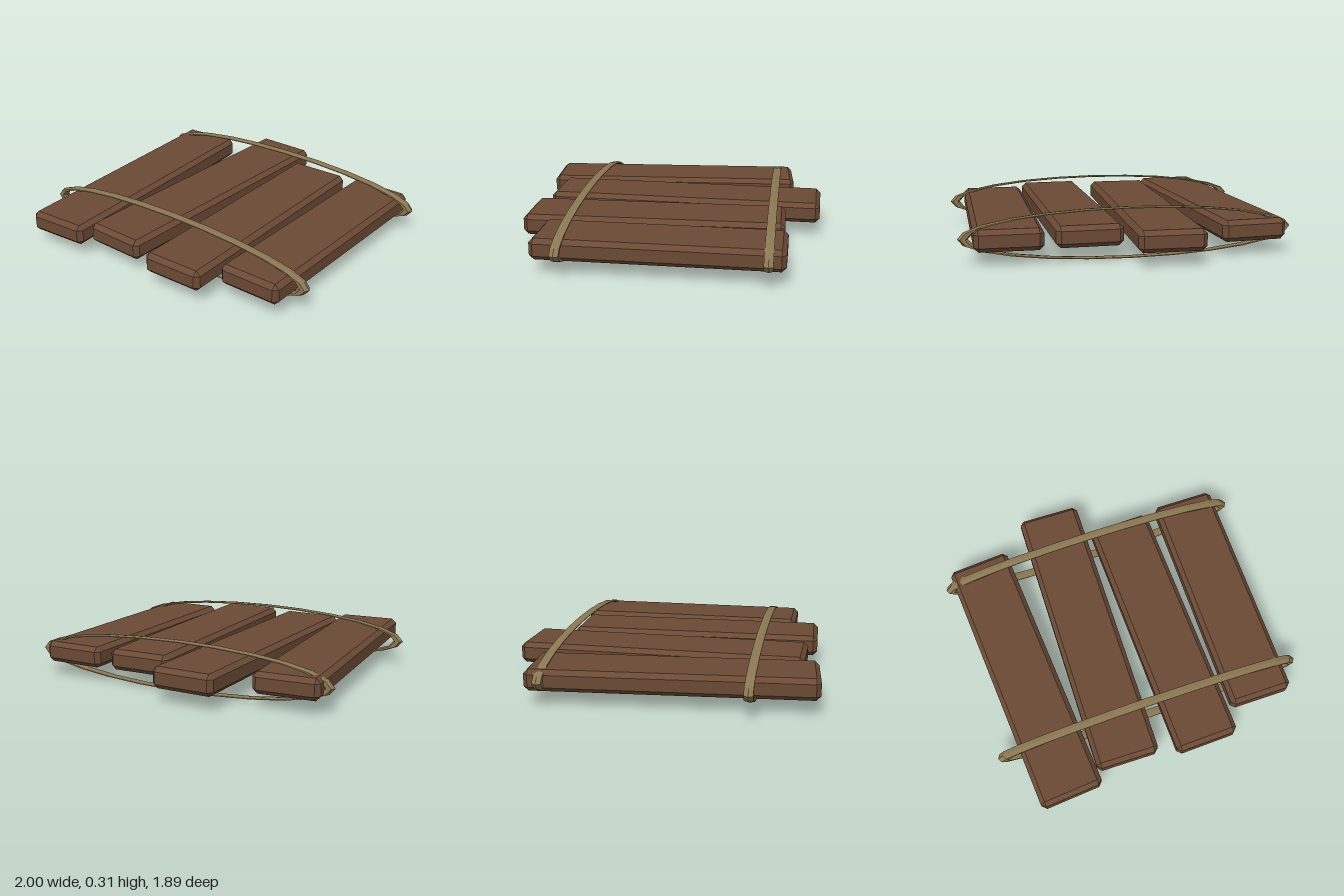
import * as THREE from 'three';
import { ConvexGeometry } from 'three/addons/geometries/ConvexGeometry.js';

const MID_Y = 0.153;

// Box with every edge and corner chamfered by b
function chamferedBox(w, h, d, b) {
  const points = [];
  for (const sx of [-1, 1]) for (const sy of [-1, 1]) for (const sz of [-1, 1]) {
    for (let axis = 0; axis < 3; axis++) {
      const inset = [b, b, b];
      inset[axis] = 0;
      points.push(new THREE.Vector3(
        sx * (w / 2 - inset[0]), sy * (h / 2 - inset[1]), sz * (d / 2 - inset[2])));
    }
  }
  return new ConvexGeometry(points);
}

export function createModel() {
  const model = new THREE.Group();
  model.name = 'plankRaft';
  const wood = new THREE.MeshStandardMaterial({ color: 0x6b4a35, flatShading: true });
  const rope = new THREE.MeshStandardMaterial({ color: 0x8b7752, flatShading: true });

  // Uneven planks: centre x, centre z, length, yaw
  const planks = [
    [-0.687, 0.087, 1.69, 0.066],
    [-0.214, -0.055, 1.78, -0.025],
    [0.256, 0.082, 1.615, 0.018],
    [0.704, -0.01, 1.475, -0.009],
  ];
  planks.forEach(([x, z, length, yaw], i) => {
    const plank = new THREE.Mesh(chamferedBox(0.4, 0.13, length, 0.028), wood);
    plank.name = `plank${i + 1}`;
    plank.position.set(x, MID_Y, z);
    plank.rotation.y = yaw;
    model.add(plank);
  });

  // Flattened rope loops around both ends
  for (const [name, z] of [['frontRope', 0.553], ['backRope', -0.647]]) {
    const geometry = new THREE.TorusGeometry(0.967, 0.031, 6, 24);
    geometry.scale(1, MID_Y, 1);
    const loop = new THREE.Mesh(geometry, rope);
    loop.name = name;
    loop.position.set(0, MID_Y, z);
    model.add(loop);
  }
  return model;
}
